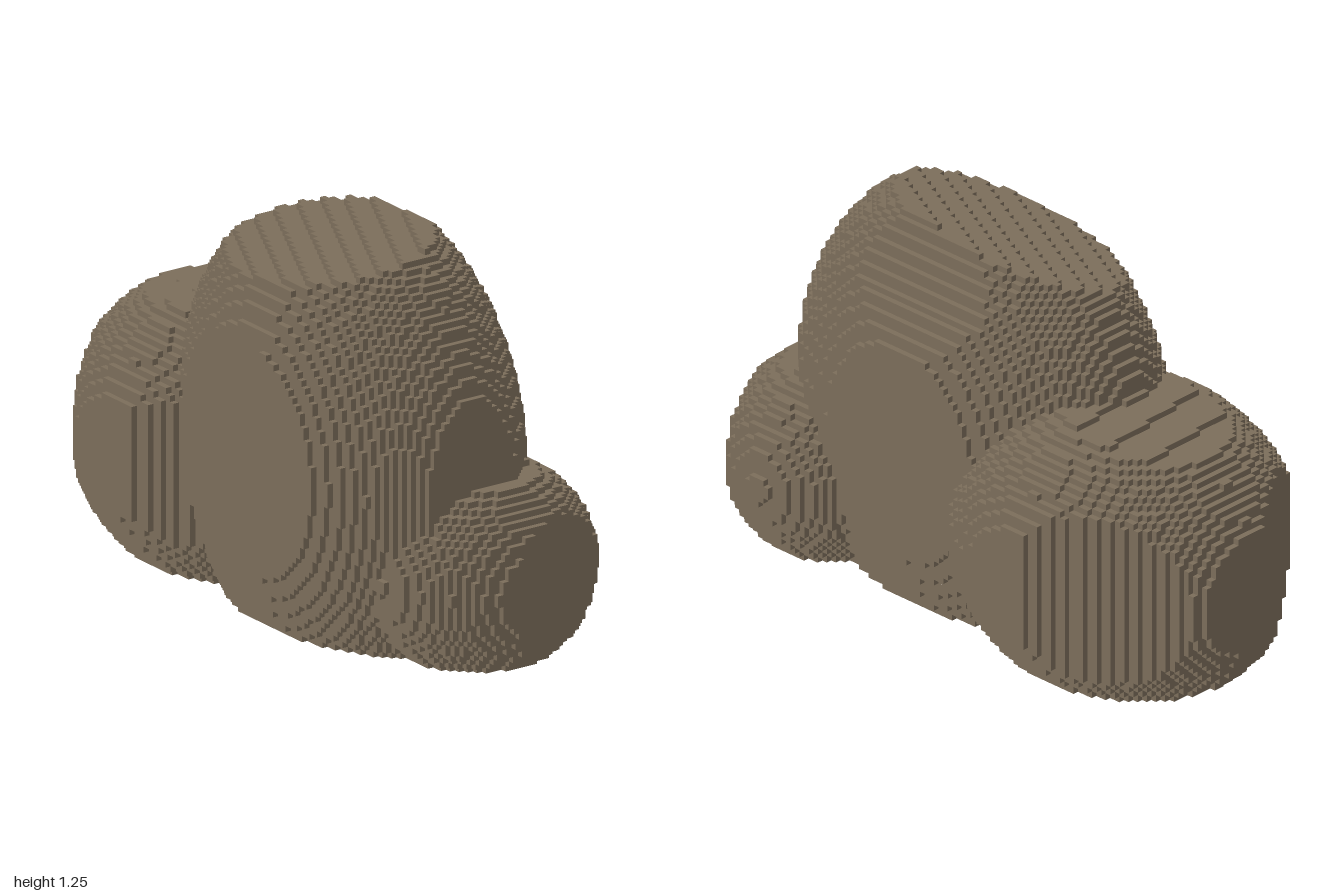
import * as THREE from 'three';

// Each boulder is an ellipsoid chipped flat by planes [nx, ny, nz, d]: n.p <= d
const BOULDERS = [
  {
    name: 'largeBoulder', c: [0.17, 0.55, 0.05], r: [0.68, 0.8, 0.42],
    cuts: [
      [-0.13, 1, 0.26, 1.187], // sloping top
      [0, 0, -1, 0.34], // back
      [-0.08, 0, 1, 0.405], // front
      [1, 0, 0, 0.795], // left side
      [0, 0.45, -0.89, 0.69], // upper back
    ],
  },
  {
    name: 'mediumBoulder', c: [-0.47, 0.38, 0], r: [0.57, 0.5, 0.5],
    cuts: [
      [-0.15, 1, 0.02, 0.9], // sloping top
      [-0.83, 0, 0.55, 0.85], // front corner
      [-0.43, 0, -0.9, 0.627], // back corner
      [0.38, 0, 0.925, 0.278], // inner front
      [0, 0, 1, 0.475],
      [0, 0, -1, 0.48],
    ],
  },
  {
    name: 'smallBoulder', c: [0.68, 0.27, -0.06], r: [0.34, 0.34, 0.365],
    cuts: [
      [0.1, 1, 0, 0.65], // top
      [0.94, 0, -0.34, 0.932], // outer back corner
    ],
  },
];

const CELL = 2 / 102;
const SIZE = [102, 64, 52]; // cells along x, y, z
const ORIGIN = [-1, 0, -26 * CELL];

function contains({ c, r, cuts }, p) {
  const d = p.reduce((s, v, k) => s + ((v - c[k]) / r[k]) ** 2, 0);
  return d <= 1 && cuts.every((n) => n[0] * p[0] + n[1] * p[1] + n[2] * p[2] <= n[3]);
}

// Fill the grid: 0 is empty, otherwise boulder number + 1
function fillGrid() {
  const grid = new Uint8Array(SIZE[0] * SIZE[1] * SIZE[2]);
  let n = 0;
  for (let z = 0; z < SIZE[2]; z++)
    for (let y = 0; y < SIZE[1]; y++)
      for (let x = 0; x < SIZE[0]; x++) {
        const p = [x, y, z].map((v, k) => ORIGIN[k] + (v + 0.5) * CELL);
        grid[n++] = BOULDERS.findIndex((b) => contains(b, p)) + 1;
      }
  return ([x, y, z]) =>
    x < 0 || y < 0 || z < 0 || x >= SIZE[0] || y >= SIZE[1] || z >= SIZE[2]
      ? 0 : grid[x + SIZE[0] * (y + SIZE[1] * z)];
}

// Exposed cell faces of one boulder, joined into strips along each row
function boulderGeometry(at, id) {
  const pos = [], nor = [], idx = [];
  for (let a = 0; a < 3; a++) {
    const u = (a + 1) % 3, v = (a + 2) % 3;
    for (const s of [1, -1]) {
      const exposed = (cell) => {
        if (at(cell) !== id) return false;
        const next = [...cell];
        next[a] += s;
        return at(next) === 0;
      };
      const addStrip = (i, j, k0, k1) => {
        const base = pos.length / 3;
        for (const [cu, cv] of [[k0, j], [k1, j], [k1, j + 1], [k0, j + 1]]) {
          const p = [0, 0, 0], n = [0, 0, 0];
          p[a] = i + (s > 0 ? 1 : 0);
          p[u] = cu;
          p[v] = cv;
          n[a] = s;
          pos.push(...p.map((q, k) => ORIGIN[k] + q * CELL));
          nor.push(...n);
        }
        const order = s > 0 ? [0, 1, 2, 0, 2, 3] : [0, 2, 1, 0, 3, 2];
        idx.push(...order.map((o) => base + o));
      };
      for (let i = 0; i < SIZE[a]; i++)
        for (let j = 0; j < SIZE[v]; j++) {
          let start = -1;
          for (let k = 0; k <= SIZE[u]; k++) {
            const cell = [0, 0, 0];
            cell[a] = i;
            cell[v] = j;
            cell[u] = k;
            const open = k < SIZE[u] && exposed(cell);
            if (open && start < 0) start = k;
            if (!open && start >= 0) {
              addStrip(i, j, start, k);
              start = -1;
            }
          }
        }
    }
  }
  const geo = new THREE.BufferGeometry();
  geo.setAttribute('position', new THREE.Float32BufferAttribute(pos, 3));
  geo.setAttribute('normal', new THREE.Float32BufferAttribute(nor, 3));
  geo.setIndex(idx);
  return geo;
}

export function createModel() {
  const group = new THREE.Group();
  group.name = 'rockCluster';
  const stone = new THREE.MeshStandardMaterial({ color: 0x7b6d5a });
  stone.name = 'stone';
  const at = fillGrid();
  BOULDERS.forEach((b, i) => {
    const mesh = new THREE.Mesh(boulderGeometry(at, i + 1), stone);
    mesh.name = b.name;
    group.add(mesh);
  });
  return group;
}
